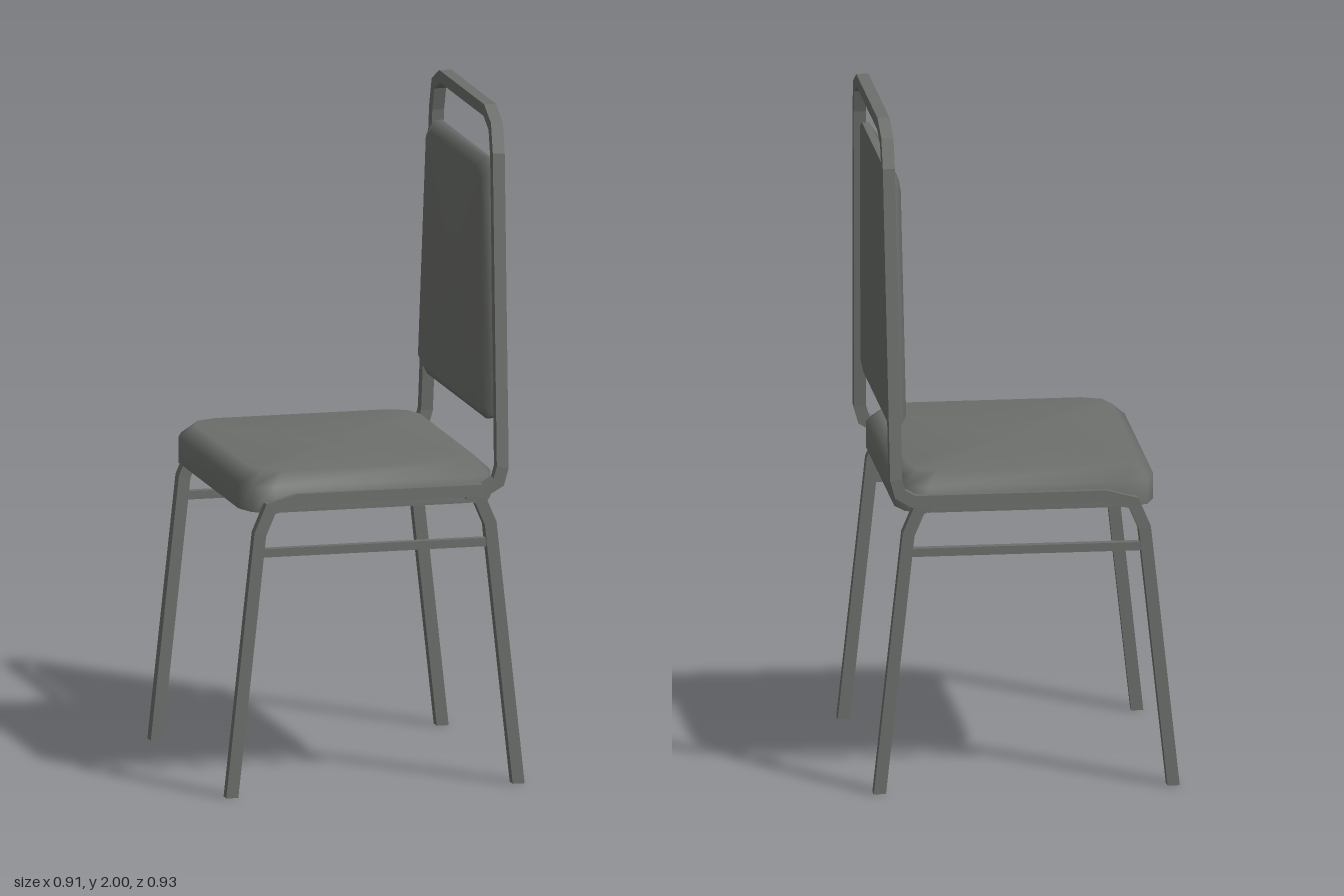
import * as THREE from 'three';

const V = (x, y, z) => new THREE.Vector3(x, y, z);
const T = 0.018; // half width of the square tube

// Square tube swept along a polyline with mitred bends; the last end is cut level.
function squareTube(points, ref) {
  const dirs = points.slice(1).map((p, i) => p.clone().sub(points[i]).normalize());
  const u = ref.clone();
  const v = dirs[0].clone().cross(u).normalize();
  u.copy(v).cross(dirs[0]).normalize();
  let ring = [[1, 1], [-1, 1], [-1, -1], [1, -1]].map(([a, b]) =>
    points[0].clone().addScaledVector(u, a * T).addScaledVector(v, b * T));
  const pos = [];
  const quad = (a, b, c, d) => [a, b, c, a, c, d].forEach(p => pos.push(p.x, p.y, p.z));
  quad(ring[3], ring[2], ring[1], ring[0]);
  for (let i = 1; i < points.length; i++) {
    const d = dirs[i - 1];
    const n = i < dirs.length ? d.clone().add(dirs[i]).normalize() : V(0, 1, 0);
    const next = ring.map(p =>
      p.clone().addScaledVector(d, points[i].clone().sub(p).dot(n) / d.dot(n)));
    for (let k = 0; k < 4; k++) {
      const m = (k + 1) % 4;
      quad(ring[k], ring[m], next[m], next[k]);
    }
    ring = next;
  }
  quad(ring[0], ring[1], ring[2], ring[3]);
  const g = new THREE.BufferGeometry();
  g.setAttribute('position', new THREE.Float32BufferAttribute(pos, 3));
  g.computeVertexNormals();
  return g;
}

// Padded cushion: a counter-clockwise outline lofted along +z through [depth, inset] layers.
function cushion(outline, layers) {
  const n = outline.length;
  const cx = outline.reduce((s, p) => s + p[0], 0) / n;
  const cy = outline.reduce((s, p) => s + p[1], 0) / n;
  const hx = Math.max(...outline.map(p => Math.abs(p[0] - cx)));
  const hy = Math.max(...outline.map(p => Math.abs(p[1] - cy)));
  const pos = [], idx = [];
  const addRing = ([depth, inset]) => outline.forEach(([x, y]) =>
    pos.push(cx + (x - cx) * (1 - inset / hx), cy + (y - cy) * (1 - inset / hy), depth));
  layers.forEach(addRing);
  for (let r = 0; r < layers.length - 1; r++) {
    for (let i = 0; i < n; i++) {
      const a = r * n + i, b = r * n + (i + 1) % n;
      idx.push(a, b, b + n, a, b + n, a + n);
    }
  }
  // padded face, sharing its rim so the shading stays soft
  const rim = (layers.length - 1) * n, mid = layers.length * n;
  pos.push(cx, cy, layers[layers.length - 1][0]);
  for (let i = 0; i < n; i++) idx.push(mid, rim + i, rim + (i + 1) % n);
  // flat base with its own vertices
  const base = mid + 1;
  addRing(layers[0]);
  for (let i = 1; i < n - 1; i++) idx.push(base, base + i + 1, base + i);
  const g = new THREE.BufferGeometry();
  g.setAttribute('position', new THREE.Float32BufferAttribute(pos, 3));
  g.setIndex(idx);
  g.computeVertexNormals();
  return g;
}

export function createModel() {
  const group = new THREE.Group();
  const grey = new THREE.MeshStandardMaterial({ color: 0x6c6f6b });
  grey.name = 'grey';
  const add = (name, geometry) => {
    const mesh = new THREE.Mesh(geometry, grey);
    mesh.name = name;
    group.add(mesh);
    return mesh;
  };

  // Frame, one half per side; the chair's seat opens toward -x
  for (const [side, s] of [['left', 1], ['right', -1]]) {
    const z = 0.444 * s;
    // top rail, back post, seat rail and front leg in one bent tube
    add(side + 'MainFrame', squareTube([
      V(0.397, 1.982, 0), V(0.397, 1.982, 0.258 * s), V(0.396, 1.947, 0.332 * s),
      V(0.395, 1.87, 0.355 * s), V(0.384, 0.95, z), V(0.372, 0.907, z),
      V(0.33, 0.883, z), V(-0.235, 0.883, z), V(-0.32, 0.86, z),
      V(-0.352, 0.785, z), V(-0.437, 0, z),
    ], V(1, 0, 0)));
    // rear leg, bent into the underside of the seat rail
    add(side + 'RearLeg', squareTube([
      V(0.28, 0.876, z), V(0.315, 0.86, z), V(0.347, 0.785, z), V(0.432, 0, z),
    ], V(0, 0, 1)));
    // thin bar between the legs
    add(side + 'Stretcher', new THREE.BoxGeometry(0.69, 0.025, 0.025))
      .position.set(-0.003, 0.728, z);
  }

  // Seat cushion
  const quarter = [[0.383, 0.35], [0.358, 0.415], [0.293, 0.443]];
  const mirrored = quarter.map(([x, y]) => [-x, y]).reverse();
  const half = [...quarter, ...mirrored];
  const seat = cushion([...half, ...half.map(([x, y]) => [-x, -y])],
    [[0.845, 0], [0.922, 0], [0.962, 0.042]]);
  seat.rotateX(-Math.PI / 2).translate(-0.007, 0, 0);
  add('seat', seat);

  // Tapered back cushion between the posts
  const edge = [[0.345, 1.075], [0.408, 1.098], [0.345, 1.82], [0.29, 1.845]];
  const back = cushion([...edge, ...edge.map(([x, y]) => [-x, y]).reverse()],
    [[-0.385, 0], [-0.364, 0], [-0.344, 0.03]]);
  back.rotateY(-Math.PI / 2);
  // lean with the posts
  const p = back.attributes.position;
  for (let i = 0; i < p.count; i++) p.setX(i, p.getX(i) + (p.getY(i) - 1.1) * 0.013);
  back.computeVertexNormals();
  add('backrest', back);

  return group;
}
